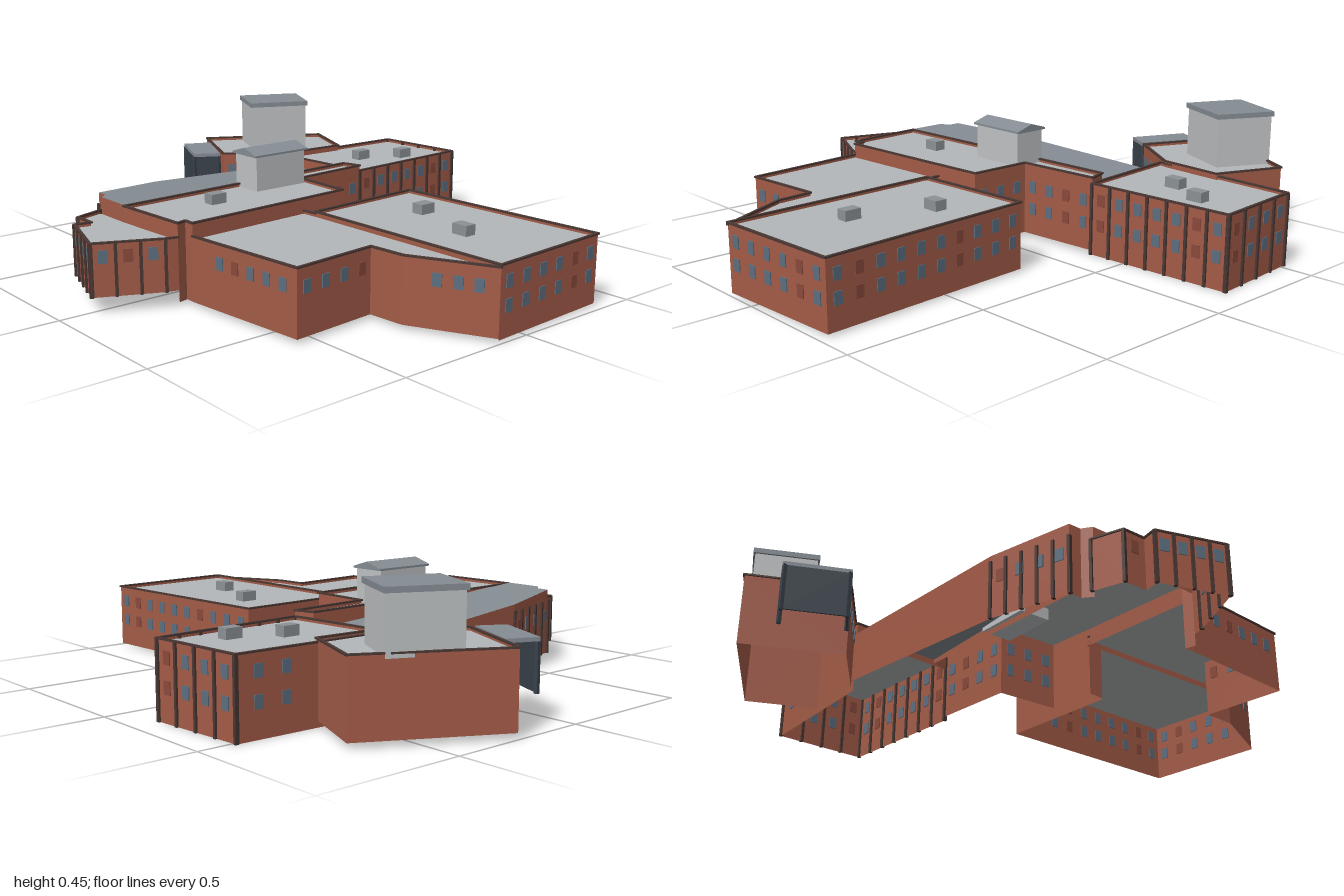
import * as THREE from 'three';

const mat = (color, side = THREE.FrontSide) => new THREE.MeshStandardMaterial({ color, side, roughness: 0.9 });
const D = THREE.DoubleSide;
const brick = mat(0xa45c48, D), roofGrey = mat(0xb4b7b9, D), slate = mat(0x858d94, D);
const glass = mat(0x5c6f80), blind = mat(0x8a4a3c), dark = mat(0x4a3834), metal = mat(0x3a424b, D);
const towerGrey = mat(0xbfc2c4), unitGrey = mat(0x8c9296);

export function createModel() {
  const root = new THREE.Group();
  const add = (parent, name, geometry, material) => {
    const m = new THREE.Mesh(geometry, material);
    m.name = name;
    parent.add(m);
    return m;
  };

  // Box set along a plan edge a-b; t = position along it, len = its length
  const along = (parent, name, a, b, t, len, y, h, depth, material) => {
    const dx = b[0] - a[0], dz = b[1] - a[1];
    const m = add(parent, name, new THREE.BoxGeometry(len, h, depth), material);
    m.position.set(a[0] + dx * t, y, a[1] + dz * t);
    m.rotation.y = -Math.atan2(dz, dx);
    return m;
  };

  // Flat or sloped roof surface over a plan outline
  const roofGeometry = (pts, height) => {
    const g = new THREE.ShapeGeometry(new THREE.Shape(pts.map(p => new THREE.Vector2(p[0], -p[1]))));
    g.rotateX(-Math.PI / 2);
    const pos = g.attributes.position;
    for (let i = 0; i < pos.count; i++) pos.setY(i, height(pos.getZ(i)));
    g.computeVertexNormals();
    return g;
  };

  // Upright walls; a corner's third value is the base of the wall starting there (null = open)
  const wallGeometry = (pts, base, height) => {
    const v = [];
    pts.forEach((a, i) => {
      if (a[2] === null) return;
      const b = pts[(i + 1) % pts.length], y0 = a[2] ?? base;
      const [x, z] = a, [X, Z] = b, ya = height(z), yb = height(Z);
      v.push(x, y0, z, x, ya, z, X, yb, Z, x, y0, z, X, yb, Z, X, y0, Z);
    });
    const g = new THREE.BufferGeometry();
    g.setAttribute('position', new THREE.Float32BufferAttribute(v, 3));
    g.computeVertexNormals();
    return g;
  };

  // Wing = walls, roof, coping, windows [edge, positions, rows] and pilasters [edge, count]
  const wing = ({ name, pts, base, top, drop = 0.012, roof = roofGrey, windows = [], pilasters = [] }) => {
    const g = new THREE.Group();
    g.name = name;
    root.add(g);
    const height = typeof top === 'function' ? top : () => top;
    const edge = i => [pts[i], pts[(i + 1) % pts.length]];
    add(g, 'walls', wallGeometry(pts, base, height), brick);
    add(g, 'roof', roofGeometry(pts, z => height(z) - drop), roof);
    if (drop) pts.forEach((p, i) => {
      if (p[2] === null) return;
      const [a, b] = edge(i);
      along(g, 'coping', a, b, 0.5, Math.hypot(b[0] - a[0], b[1] - a[1]) + 0.006, height(0), 0.006, 0.01, dark);
    });
    windows.forEach(([e, n, rows, from = 0, to = 1]) => {
      const [a, b] = edge(e);
      for (const y of rows) for (let k = 0; k < n; k++)
        along(g, 'window', a, b, from + (to - from) * (k + 0.5) / n, 0.03, y, 0.042, 0.006,
          (k * 3 + e) % 5 === 4 ? blind : glass);
    });
    pilasters.forEach(([e, n]) => {
      const [a, b] = edge(e), y0 = a[2] ?? base, h = height(0) - y0;
      for (let k = 0; k <= n; k++) along(g, 'pilaster', a, b, k / n, 0.01, y0 + h / 2, h, 0.014, dark);
    });
  };

  wing({
    name: 'northWestWing', base: 0, top: 0.255,
    pts: [[-0.515, -0.88], [-0.16, -0.905], [-0.13, -0.36, 0.2], [-0.535, -0.325]],
    windows: [[0, 4, [0.2, 0.11]], [1, 7, [0.2, 0.11]], [3, 2, [0.2, 0.11], 0.6, 0.95]],
    pilasters: [[0, 4], [1, 7]],
  });
  wing({
    name: 'centralBlock', base: 0.015, top: 0.275,
    pts: [[-0.2, -0.34, 0.2], [-0.13, -0.36], [-0.11, -0.05], [0.125, -0.045], [0.135, 0.13, 0.2],
      [0.16, 0.61], [0.12, 0.61], [0.13, 0.645, 0.2], [-0.165, 0.66, 0.2]],
    windows: [[1, 4, [0.19, 0.11]], [2, 3, [0.19, 0.11]]],
  });
  wing({
    name: 'northEastWing', base: 0.01, top: 0.24,
    pts: [[0.175, -0.325], [0.97, -0.365], [0.995, 0.12, 0.2], [0.195, 0.135]],
    windows: [[0, 10, [0.185, 0.11]], [1, 6, [0.185, 0.11]]],
  });
  wing({
    name: 'southEastWing', base: 0.015, top: 0.233,
    pts: [[0.135, 0.14], [0.195, 0.135, null], [0.995, 0.12], [0.73, 0.25], [0.6, 0.26], [0.625, 0.57],
      [0.16, 0.61, null]],
    windows: [[2, 3, [0.17], 0.1, 0.75], [4, 4, [0.17]], [5, 5, [0.17], 0.05, 0.8]],
  });
  wing({
    name: 'southWing', base: 0.055, top: 0.23,
    pts: [[0.13, 0.645], [0.12, 0.685], [0.02, 0.895], [-0.21, 0.82], [-0.2, 0.765], [-0.285, 0.765],
      [-0.32, 0.66, null]],
    windows: [[1, 3, [0.185]], [2, 4, [0.185]], [4, 1, [0.185]]],
    pilasters: [[1, 3], [2, 4], [5, 1]],
  });
  wing({
    name: 'slopingHall', base: 0.04, drop: 0, roof: slate, top: z => 0.237 + 0.062 * z,
    pts: [[-0.535, -0.325, null], [-0.2, -0.34, null], [-0.165, 0.66, 0.2], [-0.31, 0.66], [-0.335, 0.63],
      [-0.38, 0.63], [-0.46, 0.35]],
    windows: [[5, 4, [0.18]]],
    pilasters: [[5, 5]],
  });
  wing({
    name: 'westAnnex', base: 0.02, top: 0.265,
    pts: [[-0.76, -0.69], [-0.515, -0.59], [-0.53, -0.35], [-0.685, -0.12], [-1, -0.26]],
    windows: [[2, 4, [0.2]]],
  });

  // Solid prism over a plan outline
  const prism = (parent, name, pts, y0, y1, material) => {
    const g = new THREE.ExtrudeGeometry(new THREE.Shape(pts.map(p => new THREE.Vector2(p[0], -p[1]))),
      { depth: y1 - y0, bevelEnabled: false });
    g.rotateX(-Math.PI / 2);
    add(parent, name, g, material).position.y = y0;
  };
  // Outline scaled about its middle
  const scaled = (pts, s) => {
    const c = [0, 1].map(k => pts.reduce((t, p) => t + p[k], 0) / pts.length);
    return pts.map(p => [0, 1].map(k => c[k] + (p[k] - c[k]) * s));
  };

  // Plant tower on the west annex
  const tower = new THREE.Group();
  tower.name = 'annexTower';
  root.add(tower);
  const plan = [[-0.82, -0.61], [-0.62, -0.51], [-0.72, -0.29], [-0.925, -0.385]];
  prism(tower, 'towerBody', scaled(plan, 0.94), 0.25, 0.432, towerGrey);
  prism(tower, 'towerCap', plan, 0.43, 0.448, slate);

  // Entrance canopy with dark screens and posts
  const canopy = new THREE.Group();
  canopy.name = 'canopy';
  root.add(canopy);
  const cover = [[-0.9, -0.205], [-0.69, -0.105], [-0.742, -0.015], [-0.945, -0.105]];
  prism(canopy, 'canopyRoof', cover, 0.255, 0.268, slate);
  const inner = scaled(cover, 0.93);
  for (const i of [1, 2]) {
    const a = inner[i], b = inner[i + 1];
    along(canopy, 'screen', a, b, 0.5, Math.hypot(b[0] - a[0], b[1] - a[1]), 0.178, 0.155, 0.006, metal);
  }
  for (const [x, z] of inner)
    add(canopy, 'post', new THREE.BoxGeometry(0.012, 0.16, 0.012), metal).position.set(x, 0.178, z);

  // Gabled rooftop house on the central block
  const house = new THREE.Group();
  house.name = 'rooftopHouse';
  root.add(house);
  const gable = (w, eave, ridge, y0, length, name, material) => {
    const s = new THREE.Shape([[-w, y0], [w, y0], [w, eave], [0, ridge], [-w, eave]]
      .map(p => new THREE.Vector2(...p)));
    const g = new THREE.ExtrudeGeometry(s, { depth: length, bevelEnabled: false });
    g.translate(0, 0, -length / 2);
    add(house, name, g, material).position.set(-0.14, 0, 0.065);
  };
  gable(0.06, 0.385, 0.4, 0.22, 0.215, 'houseBody', towerGrey);
  gable(0.067, 0.392, 0.412, 0.385, 0.235, 'houseRoof', slate);

  // Rooftop ventilation units
  for (const [x, z, y, w, d] of [[-0.255, -0.71, 0.243, 0.042, 0.06], [-0.335, -0.555, 0.243, 0.042, 0.06],
    [0.405, -0.165, 0.228, 0.045, 0.06], [0.675, -0.07, 0.228, 0.06, 0.042], [-0.045, 0.375, 0.263, 0.042, 0.06]])
    add(root, 'roofUnit', new THREE.BoxGeometry(w, 0.035, d), unitGrey).position.set(x, y + 0.0175, z);

  return root;
}
